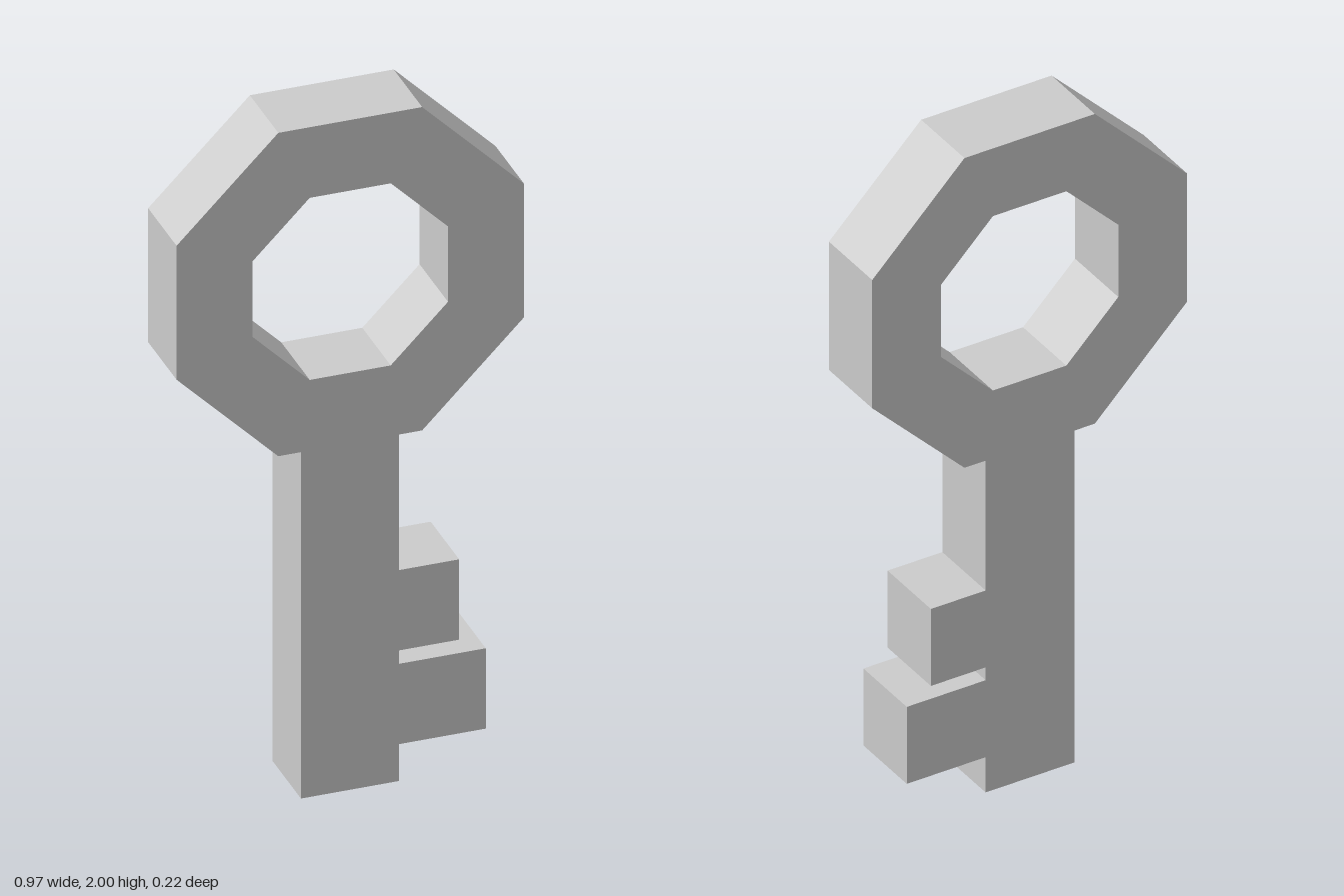
import * as THREE from 'three';

const DEPTH = 0.215;
const BOW_Y = 1.518;

// Corners of an upright regular octagon, counter-clockwise from the lower right
function octagon(apothem) {
  const radius = apothem / Math.cos(Math.PI / 8);
  return Array.from({ length: 8 }, (_, i) => {
    const a = -Math.PI * 3 / 8 + i * Math.PI / 4;
    return new THREE.Vector2(radius * Math.cos(a), BOW_Y + radius * Math.sin(a));
  });
}

export function createModel() {
  const group = new THREE.Group();
  group.name = 'key';

  const left = -0.137, right = 0.135;
  const bow = octagon(0.483);
  const neckY = bow[0].y;

  // Stem with its two teeth on the +x side, from the bottom up
  const stem = [[left, neckY], [left, 0], [right, 0]];
  const teeth = [
    { bottom: 0.11, top: 0.35, tip: 0.377 },
    { bottom: 0.39, top: 0.63, tip: 0.303 },
  ];
  for (const { bottom, top, tip } of teeth) {
    stem.push([right, bottom], [tip, bottom], [tip, top], [right, top]);
  }
  stem.push([right, neckY]);

  // One continuous outline: stem, then around the octagonal bow
  const outline = new THREE.Shape([...stem.map(([x, y]) => new THREE.Vector2(x, y)), ...bow]);
  outline.holes.push(new THREE.Path(octagon(0.272).reverse()));

  const geometry = new THREE.ExtrudeGeometry(outline, { depth: DEPTH, bevelEnabled: false });
  geometry.translate(0, 0, -DEPTH / 2);

  const body = new THREE.Mesh(
    geometry,
    new THREE.MeshStandardMaterial({ color: 0xcccccc, flatShading: true })
  );
  body.name = 'keyBody';
  group.add(body);
  return group;
}
